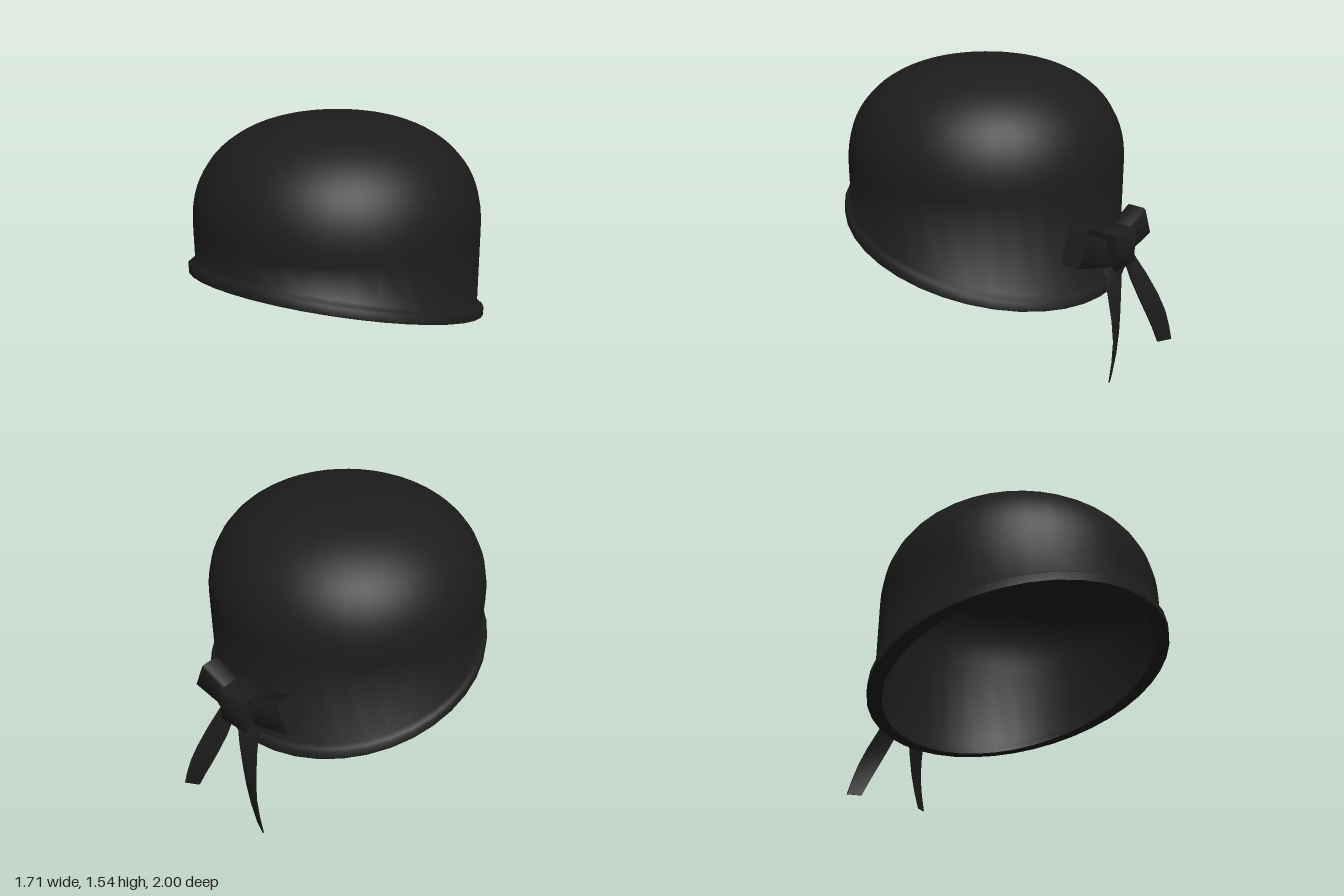
import * as THREE from 'three';
import { mergeVertices, toCreasedNormals } from 'three/addons/utils/BufferGeometryUtils.js';

const CENTER_Z = 0.147;   // middle of the cap
const TILT = 0.226;       // rise of the opening at the front, drop at the back
const DOME_Y = 0.92;      // where the straight wall turns into the dome

// Merge, then smooth with sharp edges kept above the crease angle
function smooth(geo, crease) {
  geo.deleteAttribute('uv');
  geo.deleteAttribute('normal');
  return toCreasedNormals(mergeVertices(geo, 1e-4), crease);
}

// Lathe whose lower part is sheared so that the opening tilts
function tiltedLathe(profile) {
  const geo = new THREE.LatheGeometry(profile, 40);
  const p = geo.attributes.position;
  for (let i = 0; i < p.count; i++) {
    const r = Math.hypot(p.getX(i), p.getZ(i));
    const weight = THREE.MathUtils.clamp((DOME_Y - p.getY(i)) / (DOME_Y - 0.578), 0, 1);
    if (r > 1e-4) p.setY(i, p.getY(i) + TILT * weight * p.getZ(i) / r);
  }
  return smooth(geo, 1.2).translate(0, 0, CENTER_Z);
}

// Superellipse dome profile from the wall up to the pole
function domeProfile(radius, height) {
  const points = [];
  for (let i = 0; i <= 20; i++) {
    const a = (i / 20) * Math.PI / 2, e = 2 / 2.34;
    points.push(new THREE.Vector2(
      i === 20 ? 0 : radius * Math.cos(a) ** e, DOME_Y + height * Math.sin(a) ** e));
  }
  return points;
}

// Closed solid through rings of equal point count
function loft(rings, crease) {
  const n = rings[0].length, index = [];
  for (let k = 0; k < rings.length - 1; k++) {
    for (let i = 0; i < n; i++) {
      const a = k * n + i, b = k * n + (i + 1) % n;
      index.push(a, b, a + n, b, b + n, a + n);
    }
  }
  const last = (rings.length - 1) * n;
  for (let i = 1; i < n - 1; i++) {
    index.push(0, i + 1, i, last, last + i, last + i + 1);
  }
  const geo = new THREE.BufferGeometry();
  geo.setAttribute('position', new THREE.Float32BufferAttribute(rings.flat(2), 3));
  geo.setIndex(index);
  return smooth(geo, crease);
}

// Upright rectangle with cut corners, its top leaning inward along x
function bevelRing(x, lean, y0, y1, z0, z1, c = 0.01) {
  return [[y0, z0 + c], [y0 + c, z0], [y1 - c, z0], [y1, z0 + c],
    [y1, z1 - c], [y1 - c, z1], [y0 + c, z1], [y0, z1 - c]]
    .map(([y, z]) => [x - lean * (y - y0), y, z]).reverse();
}

export function createModel() {
  const group = new THREE.Group();
  const felt = new THREE.MeshStandardMaterial({ color: 0x1c1c1c, side: THREE.DoubleSide });
  felt.name = 'black felt';
  const add = (name, geo) => {
    const mesh = new THREE.Mesh(geo, felt);
    mesh.name = name;
    group.add(mesh);
  };
  const V = (x, y) => new THREE.Vector2(x, y);

  // Crown with a flared rim around its tilted opening
  add('crownAndRim', tiltedLathe([
    V(0.77, 0.507), V(0.853, 0.507), V(0.853, 0.552), V(0.838, 0.564), V(0.815, 0.58),
    ...domeProfile(0.815, 0.622),
  ]));

  // Thin lining close under the crown, drawn in at the rim
  add('lining', tiltedLathe([
    V(0.77, 0.507), V(0.778, 0.54), V(0.8, 0.58), ...domeProfile(0.8, 0.608),
  ].reverse()));

  // Bow knot
  add('bowKnot', loft([
    bevelRing(-0.09, 0, 0.5, 0.705, -0.86, -0.675),
    bevelRing(0.09, 0, 0.5, 0.705, -0.86, -0.675),
  ], 1));

  for (const side of [1, -1]) {
    const label = side > 0 ? 'left' : 'right';
    const mirror = (rings) => rings.map((ring) => {
      const r = ring.map(([x, y, z]) => [x * side, y, z]);
      return side > 0 ? r : r.reverse();
    });

    // Bow loop, widening and rising outward, its end square to its slope
    add(label + 'BowLoop', loft(mirror([
      bevelRing(0.06, 0.2, 0.515, 0.645, -0.8, -0.685),
      bevelRing(0.2, 0.32, 0.545, 0.7, -0.803, -0.685),
      bevelRing(0.34, 0.42, 0.585, 0.757, -0.803, -0.685),
    ]), 1));

    // Ribbon tail curving down, out and back: [y, innerX, innerZ, outerX, outerZ]
    const tail = [
      [0.53, 0.02, -0.845, 0.145, -0.815], [0.42, 0.05, -0.872, 0.182, -0.882],
      [0.3, 0.095, -0.903, 0.221, -0.94], [0.2, 0.137, -0.928, 0.251, -0.975],
      [0.1, 0.183, -0.947, 0.28, -0.99], [0, 0.23, -0.957, 0.308, -0.996],
    ].map(([y, xi, zi, xo, zo]) => [
      [xi, y, zi + 0.004], [xo, y, zo + 0.004], [xo, y, zo - 0.004], [xi, y, zi - 0.004],
    ]);
    add(label + 'RibbonTail', loft(mirror(tail), 0.7));
  }
  return group;
}
